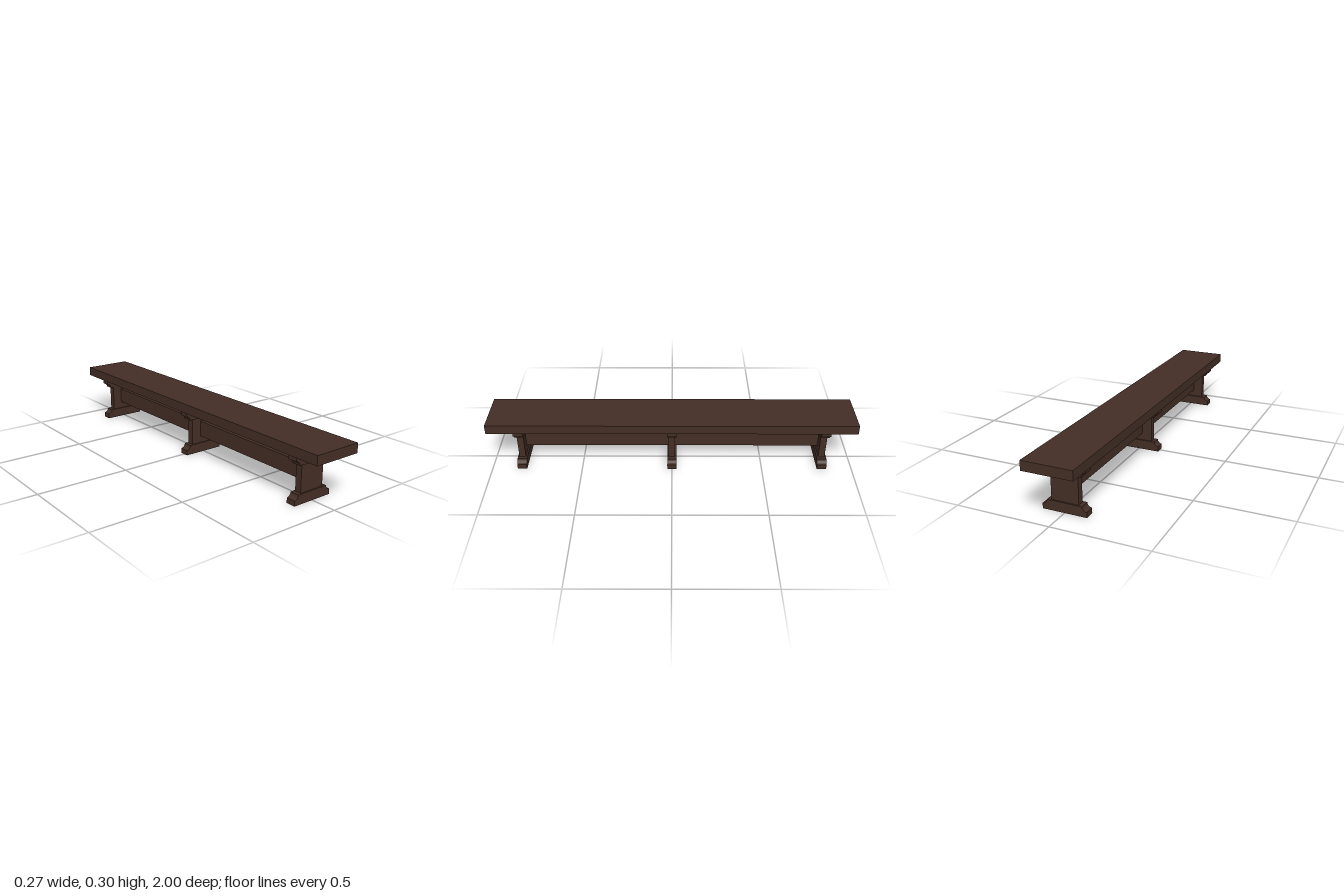
import * as THREE from 'three';

export function createModel() {
  const bench = new THREE.Group();
  bench.name = 'bench';
  const wood = new THREE.MeshStandardMaterial({ color: 0x432e25 });
  wood.name = 'dark wood';

  function box(name, w, h, d, y, z, parent) {
    const mesh = new THREE.Mesh(new THREE.BoxGeometry(w, h, d), wood);
    mesh.name = name;
    mesh.position.set(0, y, z);
    parent.add(mesh);
  }

  // Foot block with a concave cove cut from each upper corner
  const half = 0.117, height = 0.052, cove = 0.024, depth = 0.052;
  const profile = new THREE.Shape();
  profile.moveTo(-half, 0);
  profile.lineTo(half, 0);
  profile.lineTo(half, height - cove);
  profile.absarc(half, height, cove, -Math.PI / 2, -Math.PI, true);
  profile.lineTo(-half + cove, height);
  profile.absarc(-half, height, cove, 0, -Math.PI / 2, true);
  const block = new THREE.ExtrudeGeometry(profile, { depth, bevelEnabled: false, curveSegments: 6 });
  block.translate(0, 0, -depth / 2);

  // Seat plank
  box('seat', 0.267, 0.051, 2, 0.2755, 0, bench);

  // Three trestles: foot, post and the same block upside down as bracket
  for (const z of [-0.834, 0, 0.834]) {
    const trestle = new THREE.Group();
    trestle.name = 'trestle';
    trestle.position.z = z;
    const foot = new THREE.Mesh(block, wood);
    foot.name = 'foot';
    const bracket = new THREE.Mesh(block, wood);
    bracket.name = 'bracket';
    bracket.rotation.z = Math.PI;
    bracket.position.y = 0.25;
    trestle.add(foot, bracket);
    box('post', 0.145, 0.146, 0.036, 0.125, 0, trestle);
    bench.add(trestle);
  }

  // Stretcher boards between the posts
  for (const s of [-1, 1]) box('stretcher', 0.035, 0.087, 0.798, 0.1345, s * 0.417, bench);

  return bench;
}
